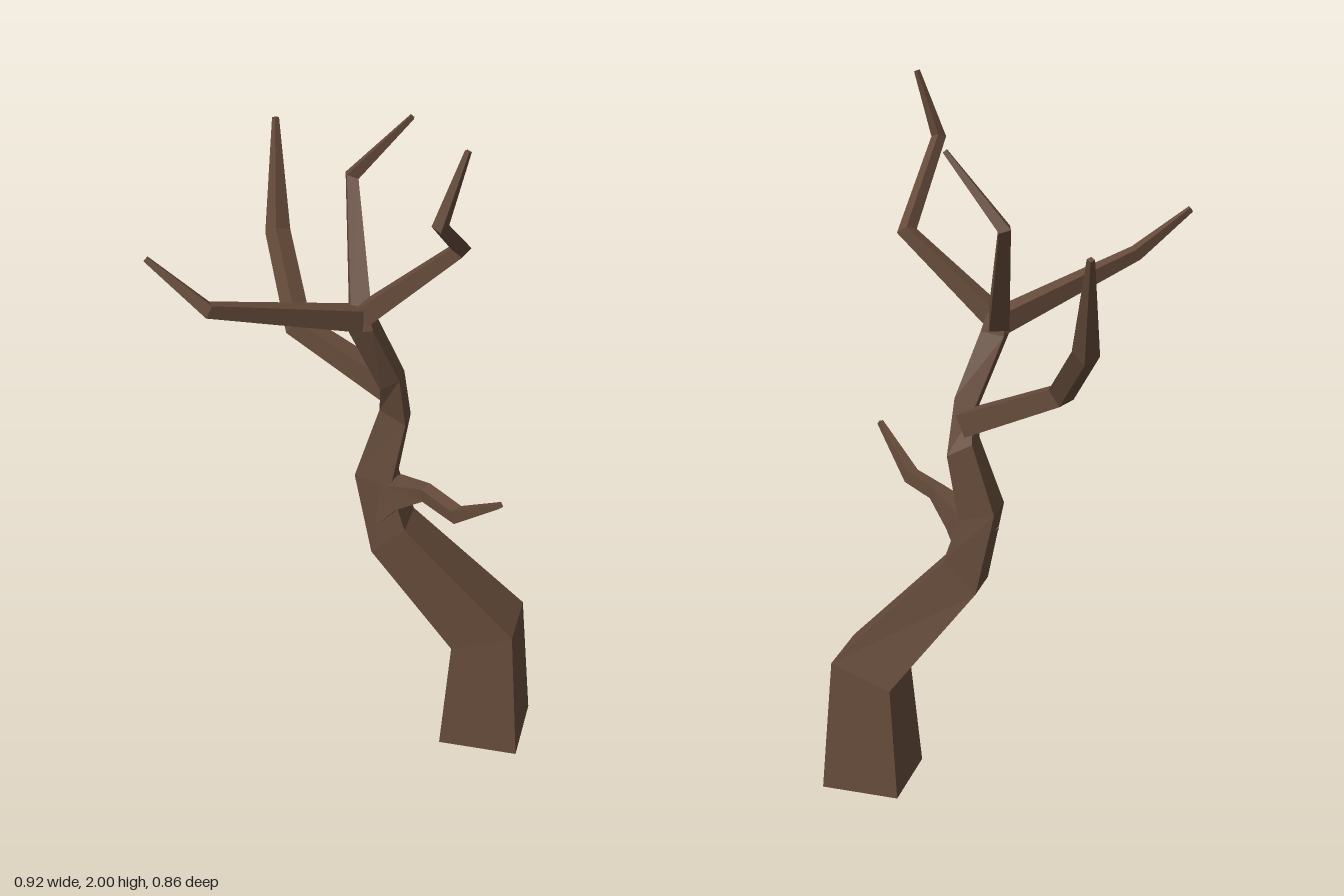
import * as THREE from 'three';

const bark = new THREE.MeshStandardMaterial({ color: 0x654b3a, flatShading: true, roughness: 1 });

// Skin a list of four-cornered rings (counter-clockwise about the growing direction), capped at both ends
function loft(name, rings) {
  const index = [];
  for (let i = 0; i < rings.length - 1; i++) {
    for (let j = 0; j < 4; j++) {
      const k = (j + 1) % 4, a = i * 4, b = a + 4;
      index.push(a + j, a + k, b + k, a + j, b + k, b + j);
    }
  }
  const e = (rings.length - 1) * 4;
  index.push(0, 3, 2, 0, 2, 1, e, e + 1, e + 2, e, e + 2, e + 3);
  const geometry = new THREE.BufferGeometry().setFromPoints(rings.flat());
  geometry.setIndex(index);
  const flat = geometry.toNonIndexed();
  flat.computeVertexNormals();
  const mesh = new THREE.Mesh(flat, bark);
  mesh.name = name;
  return mesh;
}

// Square branch with mitred bends; nodes are [x, y, z, width]
function branch(name, nodes) {
  const pts = nodes.map(n => new THREE.Vector3(n[0], n[1], n[2]));
  const dirs = pts.slice(1).map((p, i) => p.clone().sub(pts[i]).normalize());
  const s = new THREE.Vector3().crossVectors(dirs[0], new THREE.Vector3(0, 1, 0)).normalize();
  const u = new THREE.Vector3().crossVectors(dirs[0], s);
  let offsets = [[1, 1], [-1, 1], [-1, -1], [1, -1]].map(([a, b]) =>
    s.clone().multiplyScalar(a).addScaledVector(u, b));
  const rings = pts.map((p, i) => {
    const dIn = dirs[Math.max(i - 1, 0)], dOut = dirs[Math.min(i, dirs.length - 1)];
    const t = dIn.clone().add(dOut).normalize();
    const mitred = offsets.map(o => o.clone().addScaledVector(dIn, -o.dot(t) / dIn.dot(t)));
    offsets = mitred.map(o => o.clone().addScaledVector(dOut, -o.dot(dOut)));
    return mitred.map(o => p.clone().addScaledVector(o, nodes[i][3] / 2));
  });
  return loft(name, rings);
}

export function createModel() {
  const tree = new THREE.Group();
  tree.name = 'bareTree';

  // Crooked trunk: [left x, left y, right x, right y, front z, back z]
  const sections = [
    [0.23, 0, 0.46, 0, 0.06, -0.17],
    [0.255, 0.335, 0.43, 0.40, 0.042, -0.145],
    [0.02, 0.64, 0.115, 0.725, 0.05, -0.072],
    [-0.03, 0.88, 0.072, 0.855, 0.04, -0.06],
    [0.033, 1.08, 0.105, 1.04, 0.012, -0.057],
    [0.043, 1.16, 0.095, 1.195, 0.045, -0.015],
    [-0.025, 1.36, 0.04, 1.37, 0.115, 0.05],
    [-0.03, 1.42, 0.025, 1.42, 0.11, 0.06],
  ];
  tree.add(loft('trunk', sections.map(([xl, yl, xr, yr, zf, zb]) => [
    new THREE.Vector3(xr, yr, zf), new THREE.Vector3(xr, yr, zb),
    new THREE.Vector3(xl, yl, zb), new THREE.Vector3(xl, yl, zf),
  ])));

  // Branches
  tree.add(
    branch('lowBranch', [[0.03, 0.77, -0.01, 0.1], [0.09, 0.83, 0.02, 0.075],
      [0.18, 0.875, 0.075, 0.038], [0.285, 0.875, 0.165, 0.036], [0.415, 0.99, 0.27, 0.014]]),
    branch('backRightBranch', [[0.06, 1.13, -0.025, 0.065], [-0.22, 1.26, -0.085, 0.052],
      [-0.33, 1.445, -0.28, 0.05], [-0.37, 1.725, -0.42, 0.014]]),
    branch('frontRightBranch', [[0.01, 1.385, 0.075, 0.06], [-0.31, 1.525, 0.395, 0.033],
      [-0.455, 1.655, 0.415, 0.014]]),
    branch('backBranch', [[-0.005, 1.39, 0.07, 0.055], [-0.073, 1.7, -0.115, 0.03],
      [0.092, 1.885, -0.088, 0.012]]),
    branch('frontLeftBranch', [[-0.01, 1.385, 0.085, 0.055], [0.262, 1.62, 0.097, 0.034],
      [0.27, 1.815, 0.41, 0.028], [0.328, 1.998, 0.398, 0.012]]),
  );
  return tree;
}
